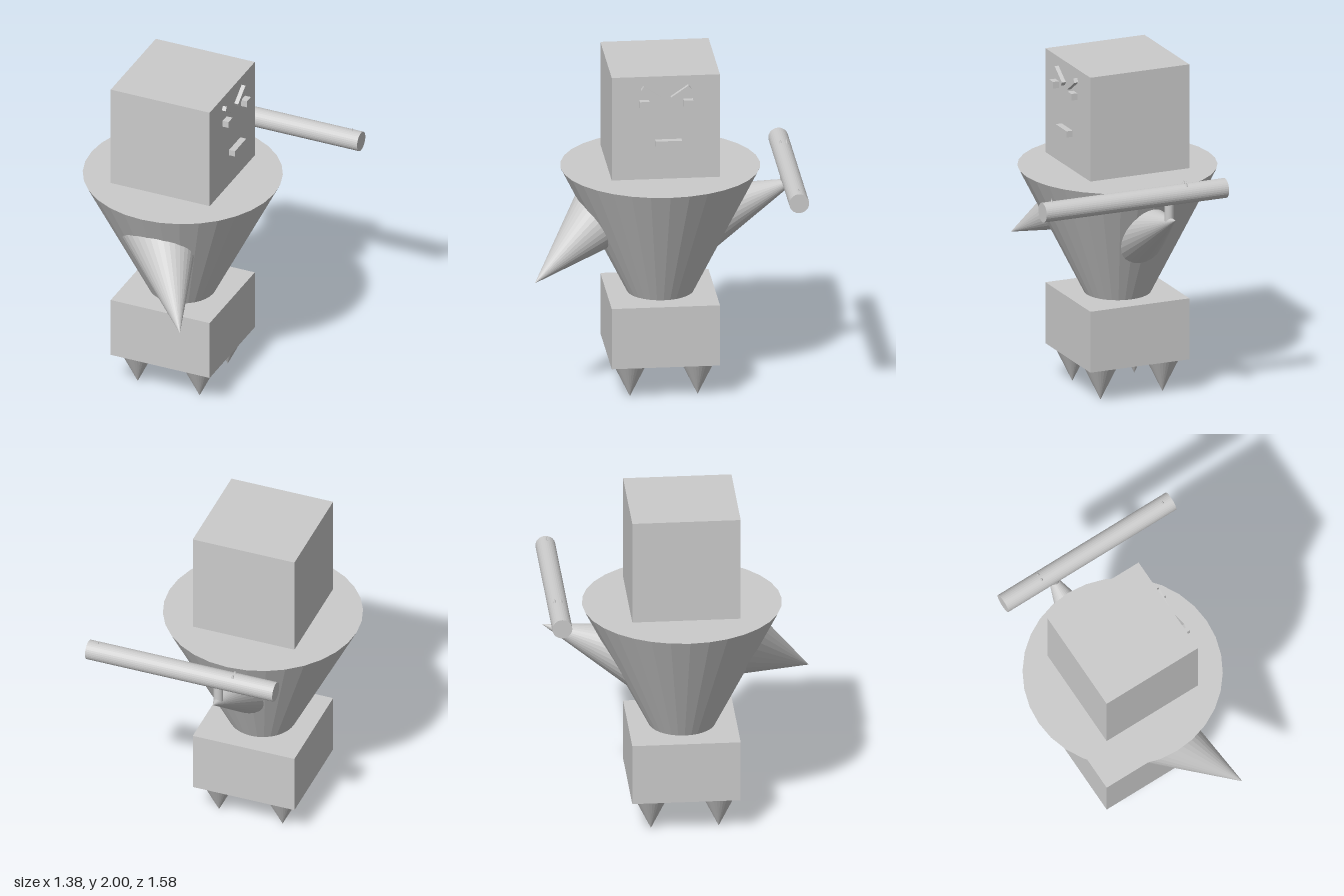
import * as THREE from 'three';

const CX = -0.115, CZ = 0.025; // body axis

export function createModel() {
  const model = new THREE.Group();
  const material = new THREE.MeshStandardMaterial({ color: 0xcccccc, flatShading: true });

  const add = (name, geometry, x, y, z) => {
    const mesh = new THREE.Mesh(geometry, material);
    mesh.name = name;
    mesh.position.set(x, y, z);
    model.add(mesh);
    return mesh;
  };
  const box = (name, w, h, d, x, y, z) => add(name, new THREE.BoxGeometry(w, h, d), x, y, z);
  const cylinder = (name, rTop, rBottom, h, x, y, z) =>
    add(name, new THREE.CylinderGeometry(rTop, rBottom, h, 32), x, y, z);

  // Cone given by its tip and the direction from the base to the tip
  const spike = (name, tip, direction, radius, length) => {
    const dir = new THREE.Vector3(...direction).normalize();
    const centre = new THREE.Vector3(...tip).addScaledVector(dir, -length / 2);
    const mesh = add(name, new THREE.ConeGeometry(radius, length, 32), ...centre.toArray());
    mesh.quaternion.setFromUnitVectors(new THREE.Vector3(0, 1, 0), dir);
    return mesh;
  };

  // Head, neck, torso and hips
  box('head', 0.63, 0.63, 0.63, CX, 1.685, CZ);
  cylinder('neck', 0.18, 0.18, 0.05, CX, 1.355, CZ);
  cylinder('torso', 0.58, 0.195, 0.765, CX, 0.9625, CZ);
  box('hips', 0.63, 0.37, 0.63, CX, 0.395, CZ);

  // Four pointed legs and a small central stud
  for (const sx of [-1, 1]) {
    for (const sz of [-1, 1]) {
      spike('leg', [CX + sx * 0.197, 0, CZ + sz * 0.197], [0, -1, 0], 0.105, 0.215);
    }
  }
  spike('centreStud', [CX, 0.185, CZ], [0, -1, 0], 0.018, 0.03);

  // Conical arms: one hanging forward, one raised behind
  spike('loweredArm', [0.215, 0.76, 0.79], [0.7, -0.72, 1], 0.232, 0.7);
  spike('raisedArm', [CX, 1.235, -0.79], [0, 0.362, -0.932], 0.224, 0.7);

  // Tube weapon with its grip and sight studs
  cylinder('weaponBarrel', 0.058, 0.058, 1.16, 0.11, 1.362, -0.7).rotation.z = Math.PI / 2;
  cylinder('weaponGrip', 0.028, 0.028, 0.12, CX, 1.27, -0.7);
  for (const [x, z] of [[0.632, -0.7], [-0.213, -0.723], [-0.213, -0.686]]) {
    spike('weaponSight', [x, 1.44, z], [0, 1, 0], 0.012, 0.035);
  }

  // Face on the +x side: eyes, slanted brows and mouth
  for (const s of [-1, 1]) {
    box('eye', 0.038, 0.04, 0.055, 0.229, 1.842, CZ + s * 0.128);
    box('brow', 0.026, 0.028, 0.125, 0.212, 1.9, CZ + s * 0.087).rotation.x = -s * 0.6;
  }
  box('mouth', 0.038, 0.037, 0.155, 0.229, 1.598, 0.0125);

  return model;
}
